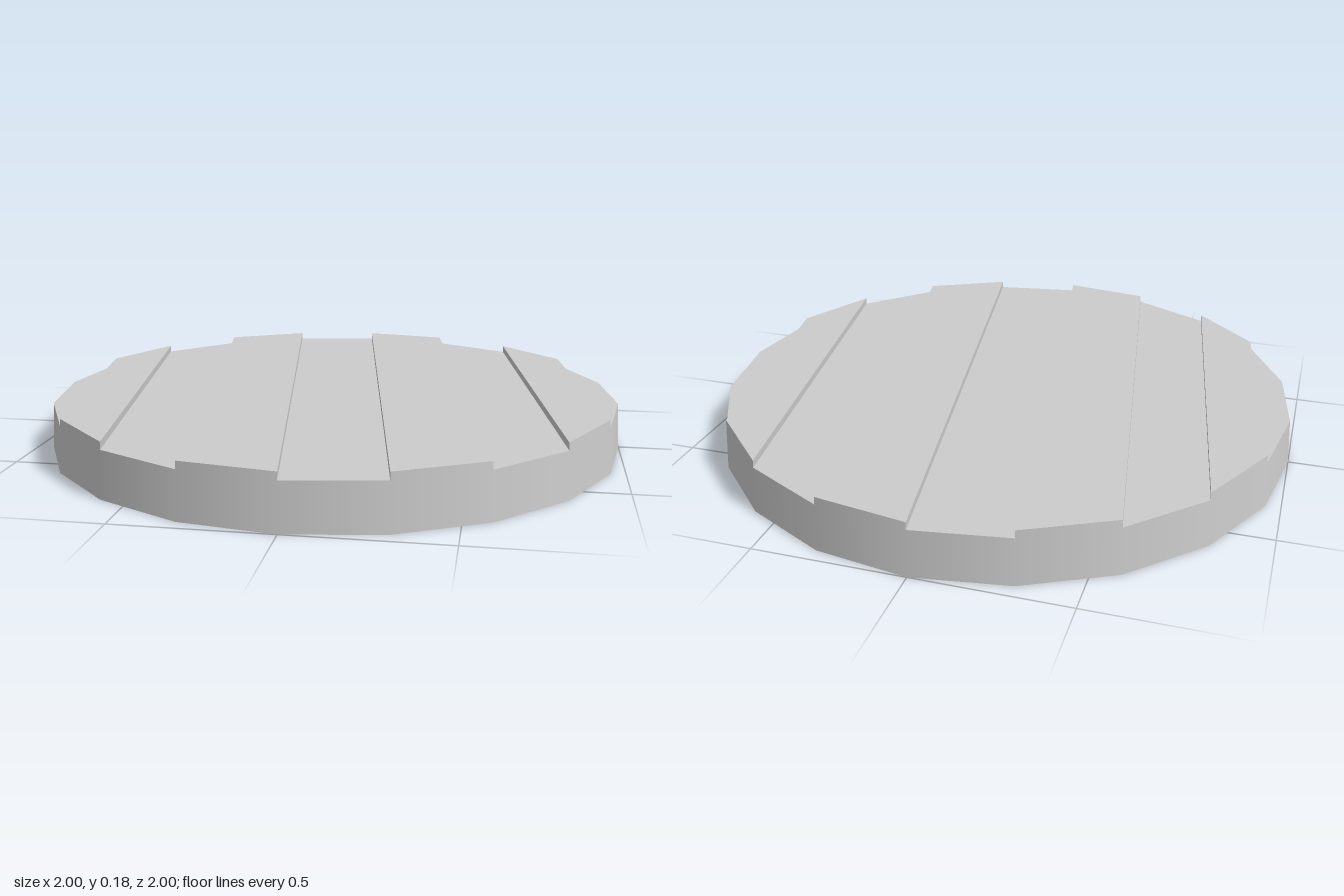
import * as THREE from 'three';

const SIDES = 20, LOW = 0.155, HIGH = 0.18, TAPER = 0.0645;
const grey = new THREE.MeshStandardMaterial({ color: 0xcccccc });

// Point on the tapered rim: corner k counted from +z towards +x
function rim(k, y) {
  const a = (k * 2 * Math.PI) / SIDES, r = 1 - TAPER * y;
  return new THREE.Vector3(r * Math.sin(a), y, r * Math.cos(a));
}

// Outward rim normal, shared by neighbouring faces for a smooth side
function rimNormal(k) {
  const n = rim(k, 0);
  n.y = TAPER;
  return n.normalize();
}

// One plank between two parallel chords; raised planks also get walls
function plankGeometry(k, raised) {
  const corners = [k, k + 1, 10 - k, 11 - k];
  const y = raised ? HIGH : LOW;
  const pos = [], nor = [], index = [];
  const quad = (points, normals) => {
    const b = pos.length / 3;
    points.forEach((p, i) => {
      pos.push(p.x, p.y, p.z);
      nor.push(normals[i].x, normals[i].y, normals[i].z);
    });
    index.push(b, b + 1, b + 2, b, b + 2, b + 3);
  };

  const up = new THREE.Vector3(0, 1, 0);
  quad(corners.map((c) => rim(c, y)), [up, up, up, up]);

  if (raised) {
    corners.forEach((a, i) => {
      const b = corners[(i + 1) % 4];
      const points = [rim(a, LOW), rim(b, LOW), rim(b, HIGH), rim(a, HIGH)];
      // even sides follow the rim, odd sides are the straight step walls
      const flat = points[1].clone().sub(points[0]).cross(up).normalize();
      const na = i % 2 ? flat : rimNormal(a), nb = i % 2 ? flat : rimNormal(b);
      quad(points, [na, nb, nb, na]);
    });
  }

  const g = new THREE.BufferGeometry();
  g.setAttribute('position', new THREE.Float32BufferAttribute(pos, 3));
  g.setAttribute('normal', new THREE.Float32BufferAttribute(nor, 3));
  g.setIndex(index);
  return g;
}

export function createModel() {
  const model = new THREE.Group();
  model.name = 'plankedDisc';
  const add = (name, geometry) => {
    const mesh = new THREE.Mesh(geometry, grey);
    mesh.name = name;
    model.add(mesh);
    return mesh;
  };

  // Tapered side wall, open at both ends
  const wall = new THREE.CylinderGeometry(1 - TAPER * LOW, 1, LOW, SIDES, 1, true);
  add('sideWall', wall.translate(0, LOW / 2, 0));

  // Underside
  add('underside', new THREE.CircleGeometry(1, SIDES).rotateX(Math.PI / 2));

  // Nine slanted planks, alternately low and raised
  for (let k = -4; k <= 4; k++) {
    const raised = k % 2 !== 0;
    add(raised ? 'raisedPlank' : 'lowPlank', plankGeometry(k, raised));
  }
  return model;
}
